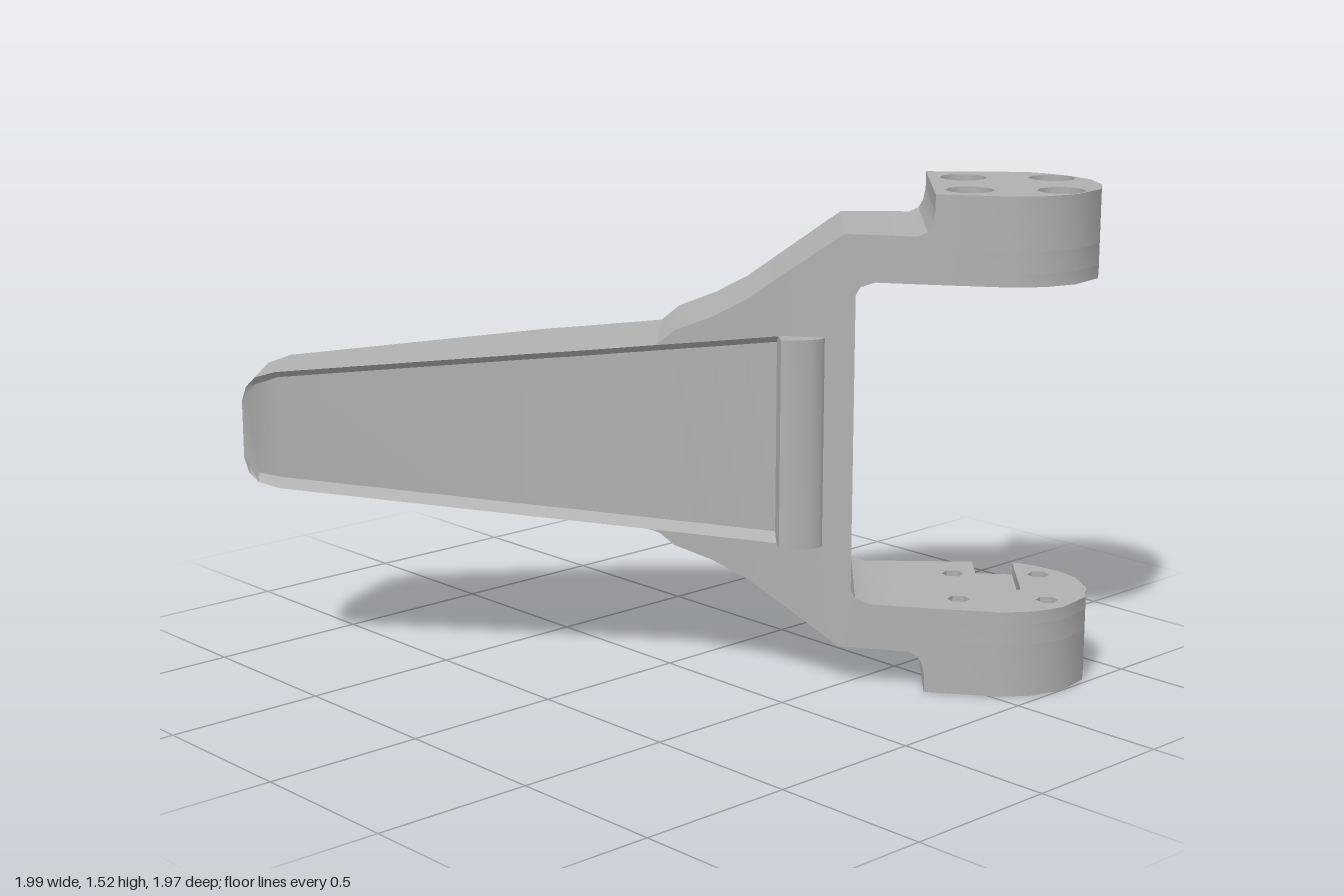
import * as THREE from 'three';
import { toCreasedNormals } from 'three/addons/utils/BufferGeometryUtils.js';

// Diagonal frame: a runs along the arm towards the fork, b across it to the front.
const MID = 0.7625; // mirror height of the fork
const place = (a, b, y) => [(a + b) / 2, y, (b - a) / 2];

// Loft between sections { a, loop: [[b, y], ...] }, closed at both ends.
function loft(sections, crease) {
  const pos = [];
  const tri = (p, q, r) => pos.push(...p, ...q, ...r);
  const rings = sections.map(s => s.loop.map(([b, y]) => place(s.a, b, y)));
  const n = rings[0].length;
  for (let k = 0; k < rings.length - 1; k++) {
    const p = rings[k], q = rings[k + 1];
    for (let i = 0; i < n; i++) {
      const j = (i + 1) % n;
      tri(p[i], p[j], q[j]);
      tri(p[i], q[j], q[i]);
    }
  }
  const first = rings[0], last = rings[rings.length - 1];
  for (let i = 1; i < n - 1; i++) {
    tri(first[0], first[i + 1], first[i]);
    tri(last[0], last[i], last[i + 1]);
  }
  const g = new THREE.BufferGeometry();
  g.setAttribute('position', new THREE.Float32BufferAttribute(pos, 3));
  return toCreasedNormals(g, crease);
}

// Flat slab with a plan outline in (a, b), reaching from yTop down to yBottom.
function slab(outline, holes, yTop, yBottom, crease = 0.9) {
  const shape = new THREE.Shape(outline.map(p => new THREE.Vector2(...p)));
  shape.holes = holes;
  const g = new THREE.ExtrudeGeometry(shape, { depth: yTop - yBottom, bevelEnabled: false });
  g.applyMatrix4(new THREE.Matrix4().set(
    0.5, 0.5, 0, 0,
    0, 0, -1, yTop,
    -0.5, 0.5, 0, 0,
    0, 0, 0, 1));
  return toCreasedNormals(g, crease);
}

// Bolt holes as polygons, radius in model units
function boltHoles(radius, sides) {
  const r = radius * Math.SQRT2;
  return [[1.64, -0.18], [1.26, -0.18], [1.64, 0.2], [1.26, 0.2]].map(([a, b]) => {
    const pts = [];
    for (let i = 0; i < sides; i++) {
      const t = (i / sides) * Math.PI * 2;
      pts.push(new THREE.Vector2(a + r * Math.cos(t), b + r * Math.sin(t)));
    }
    return new THREE.Path(pts);
  });
}

export function createModel() {
  const model = new THREE.Group();
  model.name = 'forkedBracket';
  const metal = new THREE.MeshStandardMaterial({ color: 0xb0b0b0 });
  metal.name = 'grey metal';
  const add = (name, geometry) => {
    const mesh = new THREE.Mesh(geometry, metal);
    mesh.name = name;
    model.add(mesh);
  };

  // Arm: [a, back b, front b, half height, pocket rim half height, pocket depth]
  const arm = [
    [-1.85, -0.08, 0.11, 0.09, 0.09, 0],
    [-1.83, -0.13, 0.112, 0.135, 0.135, 0.01],
    [-1.79, -0.19, 0.115, 0.165, 0.165, 0.03],
    [-1.70, -0.245, 0.12, 0.183, 0.183, 0.06],
    [-0.56, -0.373, 0.173, 0.256, 0.256, 0.06],
    [-0.42, -0.373, 0.18, 0.264, 0.264, 0.06],
    [-0.05, -0.37, 0.196, 0.288, 0.288, 0.06],
    [0.03, -0.37, 0.2, 0.335, 0.293, 0.06],
    [0.19, -0.37, 0.207, 0.378, 0.303, 0.06],
    [0.33, -0.37, 0.213, 0.43, 0.312, 0.06],
    [0.48, -0.37, 0.22, 0.506, 0.322, 0.06],
    [0.48, -0.37, 0.22, 0.506, 0.322, 0],
    [0.66, -0.37, 0.25, 0.597, 0.322, 0],
    [0.74, -0.37, 0.27, 0.637, 0.322, 0],
    [0.79, -0.37, 0.28, 0.637, 0.322, 0],
  ].map(([a, back, front, half, rim, depth]) => {
    const inner = rim - 0.025;
    return {
      a,
      loop: [
        [back, MID - half], [back, MID + half], [front, MID + half],
        [front, MID + rim], [front - depth, MID + inner],
        [front - depth, MID - inner], [front, MID - rim], [front, MID - half],
      ],
    };
  });
  add('arm', loft(arm, 0.5));

  // Lip closing the wide end of the pocket
  add('pocketLip', slab(
    [[0.46, 0.12], [0.47, 0.23], [0.48, 0.31], [0.51, 0.32], [0.6, 0.305], [0.65, 0.28], [0.67, 0.24], [0.66, 0.12]],
    [], 1.085, 0.44));

  // Lug plan outlines, plain and with the locating slot
  const slotStart = [[1.11, -0.37]];
  const slot = [[1.36, -0.37], [1.36, 0.05], [1.45, 0.13], [1.54, 0.05], [1.54, -0.362]];
  const rest = [
    [1.56, -0.36], [1.64, -0.315], [1.735, -0.235], [1.8, -0.14], [1.83, 0.01], [1.81, 0.15],
    [1.7, 0.3], [1.57, 0.37], [1.43, 0.39], [1.11, 0.34],
  ];
  const plain = [...slotStart, [1.43, -0.37], ...rest];
  const slotted = [...slotStart, ...slot, ...rest];

  for (const [side, s] of [['upper', 1], ['lower', -1]]) {
    // Fork tine with fillets: [a, front b, inner half height, outer half height]
    const tine = [
      [0.79, 0.28, 0.455, 0.637],
      [0.81, 0.284, 0.48, 0.637],
      [0.87, 0.295, 0.4955, 0.637],
      [1.04, 0.327, 0.4955, 0.637],
      [1.08, 0.334, 0.4955, 0.65],
      [1.1, 0.338, 0.4955, 0.675],
      [1.11, 0.34, 0.4955, 0.71],
    ].map(([a, front, inner, outer]) => {
      const ys = [MID + s * inner, MID + s * outer].sort((p, q) => p - q);
      return { a, loop: [[-0.37, ys[0]], [-0.37, ys[1]], [front, ys[1]], [front, ys[0]]] };
    });
    add(side + 'Tine', loft(tine, 0.6));

    // Lug layers from the inside out: slot, small bores, counterbores
    const layers = [
      ['SlotLayer', slotted, 0.035, 6, 0.4955, 0.535],
      ['BoreLayer', plain, 0.035, 6, 0.535, 0.6],
      ['CounterboreLayer', plain, 0.072, 10, 0.6, 0.7625],
    ];
    for (const [name, outline, radius, sides, inner, outer] of layers) {
      const ys = [MID + s * inner, MID + s * outer];
      add(side + 'Lug' + name, slab(outline, boltHoles(radius, sides), Math.max(...ys), Math.min(...ys)));
    }
  }
  return model;
}
